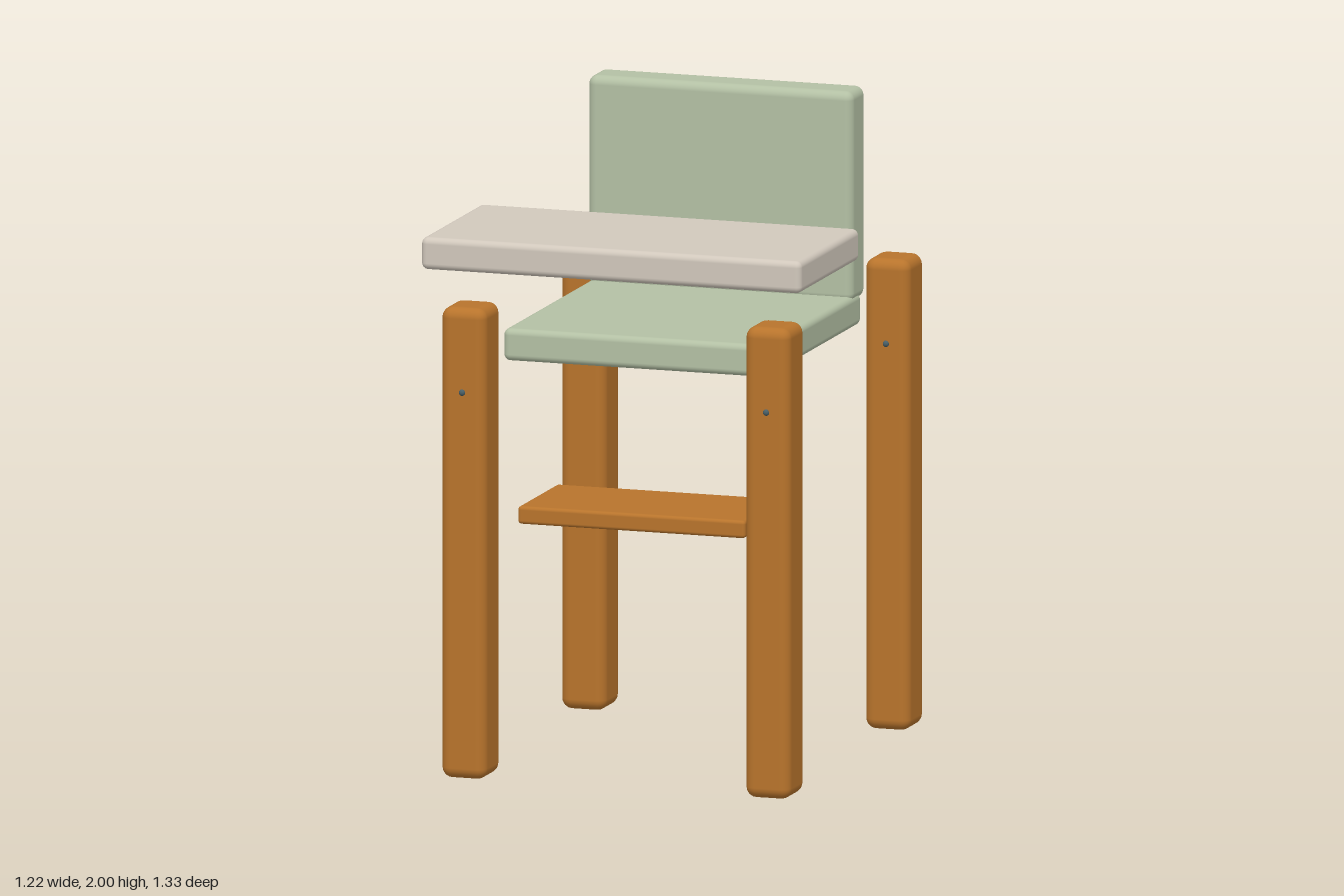
import * as THREE from 'three';
import { RoundedBoxGeometry } from 'three/addons/geometries/RoundedBoxGeometry.js';

const material = (name, color) => {
  const m = new THREE.MeshStandardMaterial({ color });
  m.name = name;
  return m;
};

export function createModel() {
  const wood = material('warm wood', 0xb8742c);
  const cushion = material('sage green', 0xb3c0a4);
  const trayTop = material('pale stone', 0xd1c8bc);
  const metal = material('screw metal', 0x4a6068);

  const model = new THREE.Group();
  model.name = 'highChair';

  // Rounded slab spanning two opposite corners
  const slab = (name, mat, [x0, y0, z0], [x1, y1, z1], radius) => {
    const geometry = new RoundedBoxGeometry(x1 - x0, y1 - y0, z1 - z0, 3, radius);
    const mesh = new THREE.Mesh(geometry, mat);
    mesh.name = name;
    mesh.position.set((x0 + x1) / 2, (y0 + y1) / 2, (z0 + z1) / 2);
    model.add(mesh);
  };

  // Seat, backrest, tray and footrest
  slab('seat', cushion, [-0.425, 1.265, -0.465], [0.425, 1.365, 0.43], 0.02);
  slab('backrest', cushion, [-0.425, 1.345, -0.505], [0.425, 2, -0.37], 0.028);
  slab('tray', trayTop, [-0.61, 1.58, 0.1], [0.61, 1.68, 0.665], 0.02);
  slab('footrest', wood, [-0.365, 0.77, 0.095], [0.365, 0.825, 0.468], 0.011);

  // Four legs, each with a small screw head on its front face
  const legs = [['front', 0.47, 0.63], ['back', -0.665, -0.508]];
  for (const [side, s] of [['Left', 1], ['Right', -1]]) {
    for (const [end, z0, z1] of legs) {
      const x = s * 0.488;
      slab(`${end}${side}Leg`, wood, [x - 0.072, 0, z0], [x + 0.072, 1.46, z1], 0.033);
      const screw = new THREE.Mesh(new THREE.SphereGeometry(0.01, 10, 8), metal);
      screw.name = `${end}${side}Screw`;
      screw.position.set(x, 1.2, z1);
      screw.scale.z = 0.8;
      model.add(screw);
    }
  }
  return model;
}
